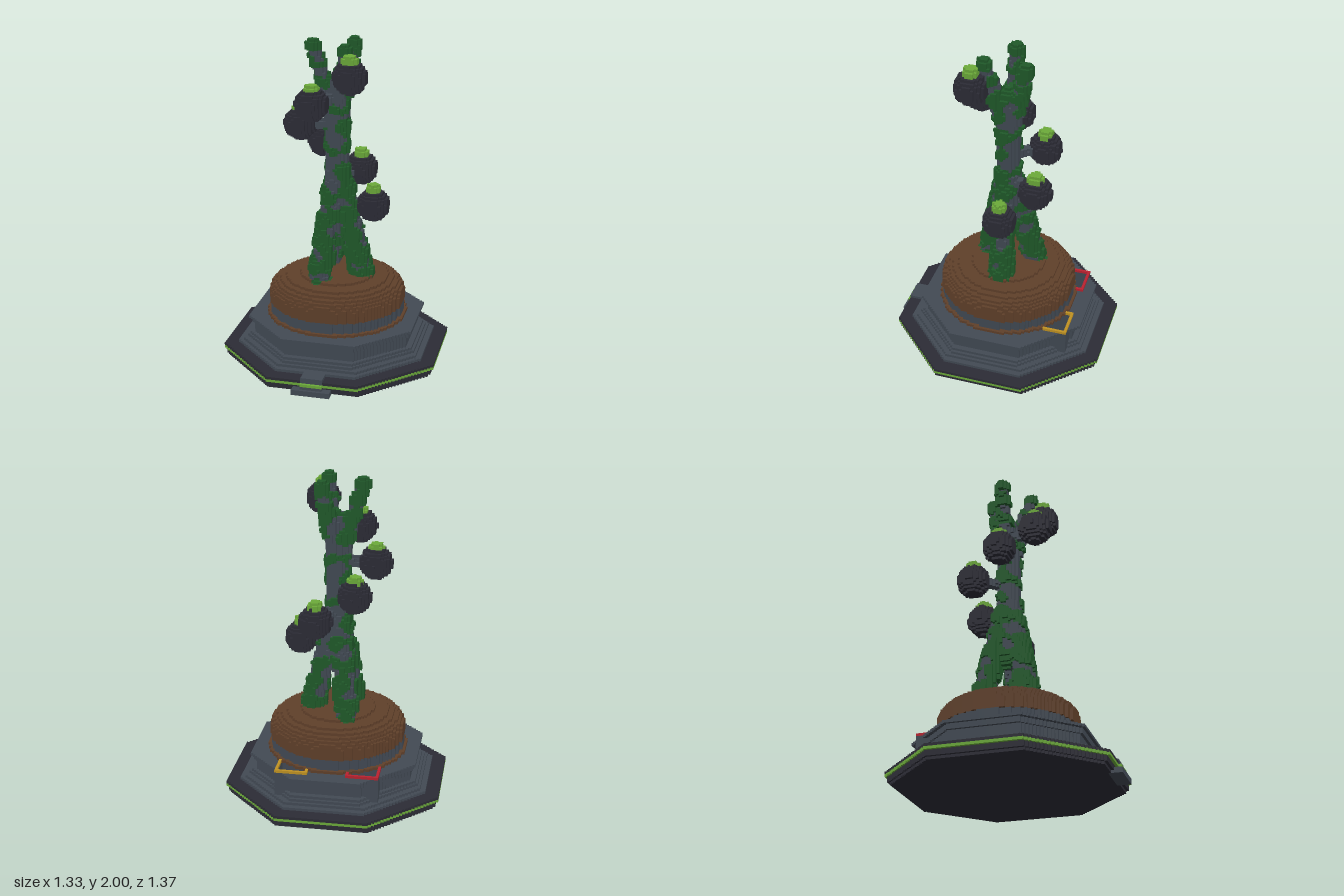
import * as THREE from 'three';

// Everything is sculpted on a grid of small cubes, then skinned part by part.
const V = 1 / 60, N = [80, 120, 82], ZC = -0.0167;
const mat = (name, color) => Object.assign(new THREE.MeshStandardMaterial({ color }), { name });

// Meshes the exposed faces of one part, merging runs of cubes into long quads
function skin(grid, id) {
  const at = (p) => (p.some((c, a) => c < 0 || c >= N[a]) ? 0 : grid[(p[1] * N[2] + p[2]) * N[0] + p[0]]);
  const pos = [], index = [];
  for (let d = 0; d < 3; d++) for (const s of [-1, 1]) {
    const u = (d + 1) % 3, v = (d + 2) % 3, p = [0, 0, 0], q = [0, 0, 0];
    for (let a = 0; a < N[d]; a++) for (let b = 0; b < N[v]; b++) {
      let start = -1;
      for (let c = 0; c <= N[u]; c++) {
        p[d] = q[d] = a; p[v] = q[v] = b; p[u] = q[u] = c;
        q[d] += s;
        const open = c < N[u] && at(p) === id && at(q) === 0;
        if (open && start < 0) start = c;
        if (!open && start >= 0) {
          const base = pos.length / 3;
          for (const [cu, cv] of [[start, b], [c, b], [c, b + 1], [start, b + 1]]) {
            const w = [0, 0, 0];
            w[d] = a + (s > 0 ? 1 : 0); w[u] = cu; w[v] = cv;
            pos.push((w[0] - N[0] / 2) * V, w[1] * V, (w[2] - N[2] / 2) * V);
          }
          const o = s > 0 ? [0, 1, 2, 0, 2, 3] : [0, 2, 1, 0, 3, 2];
          index.push(...o.map((i) => base + i));
          start = -1;
        }
      }
    }
  }
  const g = new THREE.BufferGeometry();
  g.setAttribute('position', new THREE.Float32BufferAttribute(pos, 3));
  g.setIndex(index);
  g.computeVertexNormals();
  return g;
}

export function createModel() {
  const dark = mat('charcoal', 0x2c2c36), slate = mat('slate', 0x424a54), soil = mat('soil brown', 0x60402a);
  const moss = mat('moss green', 0x205a2a), lime = mat('lime green', 0x6cab3a);
  const red = mat('red', 0xba2230), yellow = mat('yellow', 0xc09222);
  const grid = new Uint8Array(N[0] * N[1] * N[2]), parts = [];
  const part = (name, material) => parts.push({ name, material });

  // Fills every cube whose centre lies in the box and passes the test
  function fill(id, [x0, x1], [y0, y1], [z0, z1], test = () => true) {
    const range = (lo, hi, off, n) => [Math.max(0, Math.ceil(lo / V + off - 0.5 - 1e-6)), Math.min(n - 1, Math.ceil(hi / V + off - 0.5 - 1e-6) - 1)];
    const [i0, i1] = range(x0, x1, N[0] / 2, N[0]), [j0, j1] = range(y0, y1, 0, N[1]), [k0, k1] = range(z0, z1, N[2] / 2, N[2]);
    for (let j = j0; j <= j1; j++) for (let k = k0; k <= k1; k++) for (let i = i0; i <= i1; i++) {
      if (test((i + 0.5 - N[0] / 2) * V, (j + 0.5) * V, (k + 0.5 - N[2] / 2) * V)) grid[(j * N[2] + k) * N[0] + i] = id;
    }
  }
  const all = [-1, 1];
  const octagon = (id, y0, y1, h) => fill(id, all, [y0 * V, y1 * V], all, (x, y, z) => {
    const a = Math.abs(x), b = Math.abs(z - ZC);
    return Math.max(a, b, (a + b) * Math.SQRT1_2) < h;
  });
  const disc = (id, y0, y1, r, x0 = 0, z0 = ZC) => fill(id, all, [y0, y1], all, (x, y, z) => Math.hypot(x - x0, z - z0) < r);

  // Octagonal foot with a glowing stripe; heights count cube layers
  const foot = part('foot', dark), stripe = part('lightStripe', lime);
  octagon(foot, 0, 1, 0.64);
  octagon(foot, 1, 3, 0.655);
  octagon(stripe, 3, 4, 0.66);
  octagon(foot, 4, 5, 0.66);

  // Stepped plinth
  const plinth = part('plinth', slate);
  for (const [a, b, h] of [[5, 6, 0.58], [6, 7, 0.555], [7, 8, 0.53], [8, 9, 0.51], [9, 13, 0.49], [13, 15, 0.505], [15, 16, 0.525]]) octagon(plinth, a, b, h);

  // Front doorstep and walkway
  const step = part('doorstep', slate);
  fill(step, [-0.115, 0.115], [0, 0.035], [0.6, 0.69]);
  fill(step, [-0.066, 0.066], [0.035, 0.083], [0.6, 0.667]);
  fill(step, [-0.066, 0.066], [0.083, 0.1], [0.54, 0.65]);
  fill(step, [-0.035, 0.035], [0.083, 0.1], [0.5, 0.65]);
  fill(stripe, [-0.066, 0.066], [0.05, 0.067], [0.65, 0.667]);
  fill(0, [-0.066, 0.066], [0.067, 0.083], [0.65, 0.69]);

  // Two open hoppers at the back corners
  const box = part('hopperWalls', slate);
  for (const [side, name, m] of [[-1, 'redHopper', red], [1, 'yellowHopper', yellow]]) {
    const id = part(name, m), span = (a, b) => (side > 0 ? [a, b] : [-b, -a]);
    fill(box, span(0.117, 0.317), [0.1, 0.267], [-0.483, -0.3]);
    fill(id, span(0.117, 0.317), [0.267, 0.283], [-0.483, -0.3]);
    fill(0, span(0.133, 0.3), [0.117, 0.3], [-0.467, -0.317]);
    fill(id, span(0.133, 0.3), [0.1, 0.117], [-0.467, -0.317]);
  }

  // Planter drum with a soil rim and a domed mound
  const drum = part('planterDrum', slate), mound = part('soilMound', soil);
  disc(mound, 0.26, 0.283, 0.437);
  disc(drum, 0.283, 0.35, 0.415);
  for (let y = 0.35; y < 0.52; y += V) {
    const t = Math.max(0, (y + V / 2 - 0.4) / 0.123);
    disc(mound, y, y + V, 0.23 + 0.192 * Math.sqrt(Math.max(0, 1 - t * t)));
  }

  // Tree limbs: [from, to, radius at from, radius at to, moss threshold]
  const trunk = part('trunk', slate), mossId = part('moss', moss);
  const limbs = [
    [[0, 0.85, ZC], [0, 1.25, ZC], 0.085, 0.07, 0.35],
    [[0, 1.25, ZC], [0, 1.72, ZC], 0.07, 0.062, 0.45],
  ];
  const tips = [];
  for (let i = 0; i < 3; i++) {
    const a = (i * Math.PI * 2) / 3, c = Math.cos(a), s = Math.sin(a);
    limbs.push([[c * 0.165, 0.48, ZC + s * 0.175], [c * 0.04, 1.12, ZC + s * 0.04], 0.064, 0.05, -0.5]);
    const knee = [-c * 0.085, 1.74, ZC - s * 0.085], tip = [-c * 0.15, 1.96, ZC - s * 0.145];
    limbs.push([[-c * 0.02, 1.5, ZC - s * 0.02], knee, 0.05, 0.04, 0.1]);
    limbs.push([knee, tip, 0.038, 0.03, 0.2]);
    tips.push(tip);
  }
  const seg = new THREE.Line3(), pt = new THREE.Vector3(), near = new THREE.Vector3();
  // Distance from the surface of a tapered limb
  const limbDistance = ([a, b, r0, r1]) => {
    const line = seg.clone().set(new THREE.Vector3(...a), new THREE.Vector3(...b));
    return (x, y, z) => {
      pt.set(x, y, z);
      const t = line.closestPointToPointParameter(pt, true);
      return line.at(t, near).distanceTo(pt) - (r0 + (r1 - r0) * t);
    };
  };
  const clump = (x, y, z) => Math.sin(x * 38 + y * 21) + Math.sin(y * 47 + z * 16 + 1) + Math.sin(z * 36 - x * 19 + 2);
  const tall = [0.48, 1.99], wide = [-0.3, 0.3];
  for (const l of limbs) {
    const d = limbDistance(l);
    fill(trunk, wide, tall, wide, (x, y, z) => d(x, y, z) < 0);
  }
  // Moss clumps sit slightly proud of the bark
  for (const l of limbs) {
    const d = limbDistance(l);
    fill(mossId, wide, tall, wide, (x, y, z) => {
      const e = d(x, y, z);
      return e > -0.02 && e < 0.016 && clump(x, y, z) > l[4];
    });
  }
  for (const [x, , z] of tips) {
    disc(mossId, 1.935, 1.985, 0.046, x, z);
    disc(mossId, 1.98, 2, 0.033, x, z);
    disc(mossId, 1.83, 1.865, 0.05, x * 0.8, ZC + (z - ZC) * 0.8);
  }

  // Spiral of round pods, each on a short stem with a bright cap
  const stems = part('podStems', slate), pods = part('pods', dark), caps = part('podCaps', lime);
  const spiral = [[0.12, 1.82, 0.175], [-0.11, 1.65, 0.185], [-0.23, 1.48, -0.01], [-0.13, 1.325, -0.21], [0.105, 1.155, -0.215], [0.225, 0.985, -0.025]];
  for (const [x, y, z] of spiral) {
    const d = limbDistance([[0, y, ZC], [x, y, z], 0.03, 0.03]);
    fill(stems, wide, [y - 0.05, y + 0.05], [-0.35, 0.35], (px, py, pz) => d(px, py, pz) < 0 && Math.hypot(px, pz - ZC) > 0.06);
  }
  for (const [x, y, z] of spiral) {
    fill(pods, [-0.4, 0.4], [y - 0.11, y + 0.11], [-0.4, 0.4], (px, py, pz) => Math.hypot(px - x, py - y, pz - z) < 0.099);
    disc(caps, y + 0.083, y + 0.108, 0.047, x, z);
    disc(caps, y + 0.108, y + 0.125, 0.036, x, z);
  }

  const model = new THREE.Group();
  model.name = 'podTree';
  parts.forEach(({ name, material }, i) => {
    const mesh = new THREE.Mesh(skin(grid, i + 1), material);
    mesh.name = name;
    model.add(mesh);
  });
  return model;
}
